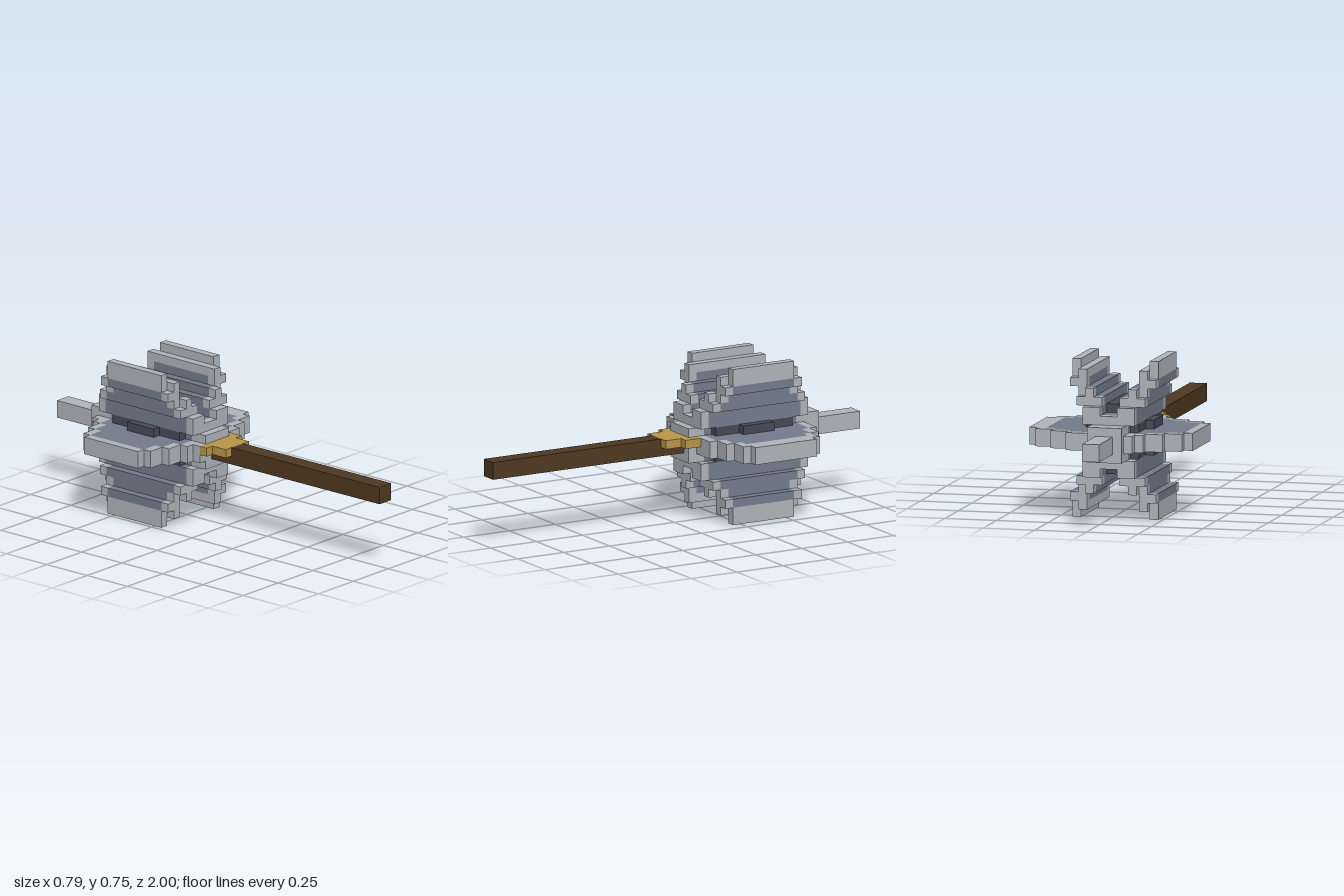
import * as THREE from 'three';

const U = 2 / 48; // one block
const MID = -9;   // centre of the head along z, in blocks

export function createModel() {
  const mat = (name, color) => {
    const m = new THREE.MeshStandardMaterial({ color });
    m.name = name;
    return m;
  };
  const steel = mat('light steel', 0xb0b5bb);
  const slate = mat('slate steel', 0x737c8d);
  const dark = mat('dark iron', 0x474a58);
  const wood = mat('dark wood', 0x4f3921);
  const gold = mat('brass', 0xb9974a);

  const model = new THREE.Group();
  model.name = 'mace';

  // Box given by its limits in blocks
  function box(parent, name, m, x0, x1, y0, y1, z0, z1) {
    const g = new THREE.BoxGeometry((x1 - x0) * U, (y1 - y0) * U, (z1 - z0) * U);
    const mesh = new THREE.Mesh(g, m);
    mesh.name = name;
    mesh.position.set(((x0 + x1) / 2 - 9.5) * U, ((y0 + y1) / 2) * U, ((z0 + z1) / 2) * U);
    parent.add(mesh);
  }

  // Bar along z: slate in the middle with steel ends, or all steel
  function bar(parent, name, x0, x1, y0, y1, half, inlaid) {
    if (!inlaid) {
      box(parent, name, steel, x0, x1, y0, y1, MID - half, MID + half);
      return;
    }
    const inner = Math.min(half - 1, 6);
    box(parent, name + 'Inlay', slate, x0, x1, y0, y1, MID - inner, MID + inner);
    box(parent, name + 'FrontEdge', steel, x0, x1, y0, y1, MID + inner, MID + half);
    box(parent, name + 'BackEdge', steel, x0, x1, y0, y1, MID - half, MID - inner);
  }

  function group(name) {
    const g = new THREE.Group();
    g.name = name;
    model.add(g);
    return g;
  }

  // Horizontal flange: x0, x1, half length, inlaid
  const flange = group('sideFlanges');
  [
    [0, 1, 4, false], [1, 3, 5, true], [3, 5, 6, true], [5, 6, 7, true],
    [6, 11, 8, true], [11, 14, 7, true], [14, 16, 6, true],
    [16, 17, 5, true], [17, 18, 5, false], [18, 19, 4, false],
  ].forEach(([x0, x1, half, inlaid]) => bar(flange, 'flange', x0, x1, 8, 10, half, inlaid));

  // Stepped diagonal blade: x0, x1, y0, y1, half length, inlaid
  const blade = [
    [13, 14, 16, 18, 4, false], [13, 14, 15, 16, 5, true],
    [12, 13, 16, 17, 5, false], [12, 13, 14, 16, 5, true],
    [12, 13, 13, 14, 6, true], [11, 12, 13, 15, 6, true],
    [10, 11, 13, 14, 6, true], [10, 12, 11, 13, 7, true],
  ];
  for (const up of [true, false]) {
    const ys = (a, b) => (up ? [a, b] : [18 - b, 18 - a]);
    const level = up ? 'upper' : 'lower';

    // Centre of the head and its dark ridge
    const core = group(level + 'Core');
    bar(core, 'core', 7, 11, ...ys(10, 11), 8, true);
    bar(core, 'coreRidge', 8, 10, ...ys(11, 12), 7, true);
    box(core, 'darkRidge', dark, 8, 10, ...ys(12, 13), MID - 4, MID + 4);

    for (const left of [true, false]) {
      const xs = (a, b) => (left ? [a, b] : [18 - b, 18 - a]);
      const g = group(level + (left ? 'LeftBlade' : 'RightBlade'));
      blade.forEach(([x0, x1, y0, y1, half, inlaid]) =>
        bar(g, 'blade', ...xs(x0, x1), ...ys(y0, y1), half, inlaid));
      // Dark stepped ridge between blade and flange
      box(g, 'darkRidge', dark, ...xs(11, 12), ...ys(10, 11), MID - 5, MID + 5);
      box(g, 'darkRidgeStep', dark, ...xs(12, 13), ...ys(10, 11), MID - 2, MID + 2);
    }
  }

  // Back cap and spike
  box(model, 'backCap', steel, 7, 11, 7, 11, -18, -17);
  box(model, 'backSpike', steel, 8, 10, 8, 10, -24, -18);

  // Brass collar
  const collar = group('collar');
  box(collar, 'collarMiddle', gold, 7, 11, 9, 10, -1, 2);
  for (const x of [6, 11]) box(collar, 'collarSide', gold, x, x + 1, 9, 10, x === 6 ? -1 : -2, 0);

  // Handle
  box(model, 'handle', wood, 8, 10, 8, 10, 2, 24);
  box(model, 'handleNeck', wood, 8, 10, 8, 9, -1, 2);

  return model;
}
